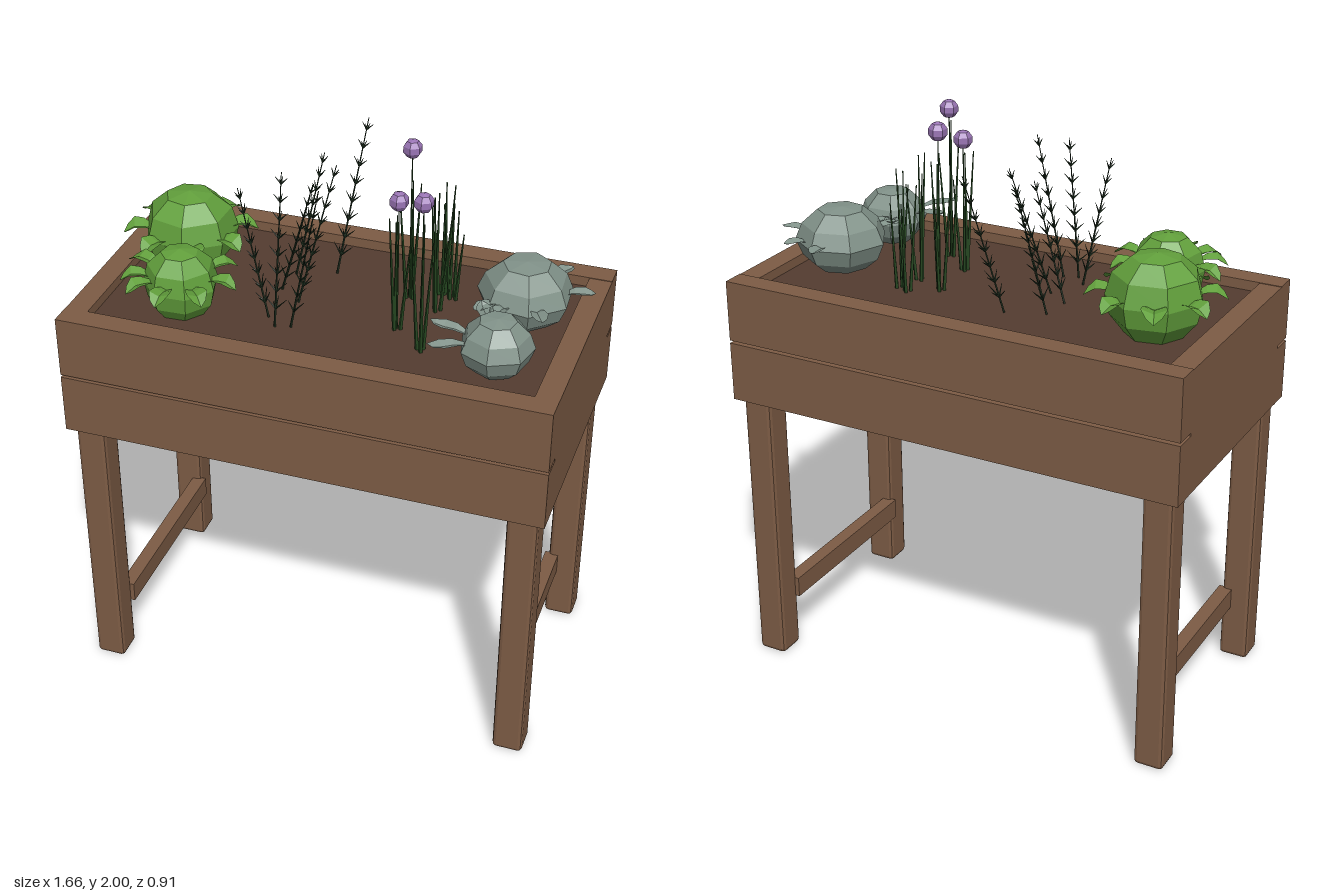
import * as THREE from 'three';
import { RoundedBoxGeometry } from 'three/addons/geometries/RoundedBoxGeometry.js';

const mat = (color) => new THREE.MeshStandardMaterial({ color, flatShading: true, side: THREE.DoubleSide });
const wood = mat(0x7d5c45), soilMat = mat(0x543d31), green = mat(0x62a03c), sage = mat(0x82938a);
const herb = mat(0x1f3020), grass = mat(0x24451f), purple = mat(0x9a75b5);
const V = (x, y, z) => new THREE.Vector3(x, y, z);
const SOIL = 1.42;

function add(parent, name, geo, material, x = 0, y = 0, z = 0) {
  const m = new THREE.Mesh(geo, material);
  m.name = name;
  m.position.set(x, y, z);
  parent.add(m);
  return m;
}

// Tapered rod between two points
function rod(parent, name, a, b, r0, r1, material, sides = 4) {
  const d = b.clone().sub(a);
  const m = add(parent, name, new THREE.CylinderGeometry(r1, r0, d.length(), sides), material);
  m.position.copy(a).addScaledVector(d, 0.5);
  m.quaternion.setFromUnitVectors(V(0, 1, 0), d.normalize());
  return m;
}

// Folded leaf running along +x, built from cross-sections [x, y, half width]
function leafGeometry(length, width, droop) {
  const rows = [[0, 0, 0.35], [0.35, 0.09, 0.85], [0.65, 0.1, 1], [0.88, 0.02 - droop / 2, 0.6], [1, -droop, 0.03]];
  const pos = [], idx = [];
  rows.forEach(([x, y, w], i) => {
    for (const s of [-1, 0, 1])
      pos.push(x * length, y * length + (s ? w * width * 0.2 : 0), s * w * width / 2);
    if (i) for (const k of [0, 1]) {
      const a = (i - 1) * 3 + k, b = a + 3;
      idx.push(a, a + 1, b, a + 1, b + 1, b);
    }
  });
  const g = new THREE.BufferGeometry();
  g.setAttribute('position', new THREE.Float32BufferAttribute(pos, 3));
  g.setIndex(idx);
  g.computeVertexNormals();
  return g;
}

// Faceted head with a ring of leaves; each leaf is [angle, reach from centre]
function headPlant(parent, name, p) {
  const g = new THREE.Group();
  g.name = name;
  g.position.set(p.x, p.y, p.z);
  const profile = p.profile.map(([r, y]) => new THREE.Vector2(r * p.r, y * p.h));
  const head = add(g, 'head', new THREE.LatheGeometry(profile, 7), p.material);
  head.rotation.y = p.turn;
  for (const [deg, reach] of p.leaves) {
    const start = p.r * 0.75;
    const leaf = new THREE.Group();
    leaf.name = 'leafMount';
    leaf.rotation.y = -THREE.MathUtils.degToRad(deg);
    add(leaf, 'leaf', leafGeometry(reach - start, p.leafWidth, p.droop), p.material, start, p.leafY);
    g.add(leaf);
  }
  parent.add(g);
}

// Leaning stem with opposite pairs of upswept needles
function sprig(parent, base, tip) {
  const g = new THREE.Group();
  g.name = 'herbSprig';
  rod(g, 'stem', base, tip, 0.004, 0.0015, herb);
  const dir = tip.clone().sub(base).normalize();
  const side = dir.clone().cross(V(0, 1, 0)).normalize();
  const out = side.clone().cross(dir).normalize();
  for (let i = 0; i < 8; i++) {
    const p = base.clone().lerp(tip, 0.12 + i * 0.115);
    const len = 0.05 - i * 0.003;
    for (const [sx, so] of [[1, 0], [-1, 0], [0, 0.7], [0, -0.7]]) {
      const end = p.clone().addScaledVector(dir, len * 0.75)
        .addScaledVector(side, sx * len * 0.75).addScaledVector(out, so * len * 0.75);
      rod(g, 'needle', p, end, 0.004, 0.0008, herb, 3);
    }
  }
  parent.add(g);
}

// Clump of upright blades, optionally with a round flower
function chive(parent, x, z, height, turn, flowerY) {
  const g = new THREE.Group();
  g.name = 'chiveClump';
  for (let i = 0; i < 4; i++) {
    const a = turn + i * Math.PI * 2 / 3, spread = i < 3 ? 0.04 : 0.006;
    const base = V(x + Math.cos(a) * 0.012, SOIL, z + Math.sin(a) * 0.012);
    const tip = V(x + Math.cos(a) * spread, height - (i % 3) * 0.05, z + Math.sin(a) * spread);
    rod(g, 'blade', base, tip, 0.007, 0.002, grass);
  }
  if (flowerY) {
    rod(g, 'flowerStem', V(x, SOIL, z), V(x, flowerY, z), 0.003, 0.002, grass);
    const f = add(g, 'flower', new THREE.SphereGeometry(0.033, 6, 5), purple, x, flowerY, z);
    f.rotation.y = Math.PI / 6;
  }
  parent.add(g);
}

export function createModel() {
  const root = new THREE.Group();
  root.name = 'raisedPlanter';

  // Long walls of two planks each with a narrow gap
  for (const s of [-1, 1]) {
    add(root, 'lowerPlank', new THREE.BoxGeometry(1.66, 0.21, 0.08), wood, 0, 1.125, s * 0.415);
    add(root, 'upperPlank', new THREE.BoxGeometry(1.66, 0.215, 0.08), wood, 0, 1.3475, s * 0.415);
    add(root, 'endBoard', new THREE.BoxGeometry(0.078, 0.432, 0.75), wood, s * 0.791, 1.237, 0);
    // Cross rail between the legs at each end
    add(root, 'crossRail', new THREE.BoxGeometry(0.05, 0.075, 0.68), wood, s * 0.71, 0.243, 0);
    for (const t of [-1, 1])
      add(root, 'leg', new RoundedBoxGeometry(0.105, 1.02, 0.104, 1, 0.014), wood, s * 0.753, 0.515, t * 0.38);
  }
  add(root, 'floor', new THREE.BoxGeometry(1.51, 0.03, 0.75), wood, 0, 1.05, 0);
  add(root, 'soil', new THREE.BoxGeometry(1.51, 0.12, 0.75), soilMat, 0, SOIL - 0.06, 0);

  // Leafy green heads
  const round = [[0, -0.9], [0.6, -0.8], [0.9, -0.4], [1, 0.05], [0.87, 0.55], [0.5, 0.9], [0, 1]];
  const flat = [[0, -0.9], [0.55, -0.85], [0.85, -0.5], [1, 0], [0.85, 0.5], [0.5, 0.93], [0, 1]];
  const ring = [22, 66, 112, 157, 203, 248, 293, 338];
  headPlant(root, 'largeGreenHead', {
    x: -0.58, y: 1.54, z: -0.1, r: 0.163, h: 0.152, turn: 0.2, profile: round, material: green,
    leaves: ring.map((a) => [a, 0.23]), leafWidth: 0.085, droop: 0.1, leafY: 0.01 });
  headPlant(root, 'smallGreenHead', {
    x: -0.49, y: 1.515, z: 0.2, r: 0.126, h: 0.13, turn: 0.5, profile: round, material: green,
    leaves: [4, 48, 92, 130, 157, 196, 240, 318].map((a, i) => [a, i === 5 ? 0.22 : 0.2]),
    leafWidth: 0.07, droop: 0.1, leafY: 0.03 });

  // Grey-green heads
  headPlant(root, 'largeGreyHead', {
    x: 0.6, y: 1.53, z: -0.09, r: 0.16, h: 0.115, turn: 0.3, profile: flat, material: sage,
    leaves: [[-95, 0.22], [-58, 0.215], [-8, 0.225], [62, 0.22], [105, 0.22], [122, 0.23]],
    leafWidth: 0.055, droop: -0.15, leafY: 0.005 });
  headPlant(root, 'smallGreyHead', {
    x: 0.59, y: 1.515, z: 0.23, r: 0.122, h: 0.1, turn: 0.9, profile: flat, material: sage,
    leaves: [[182, 0.22], [143, 0.235], [240, 0.2]],
    leafWidth: 0.055, droop: -0.25, leafY: 0.02 });

  // Herb sprigs: base x, z then tip x, y, z
  for (const [bx, bz, tx, ty, tz] of [
    [-0.08, -0.18, -0.03, 1.93, -0.36], [-0.21, -0.13, -0.13, 1.86, -0.2],
    [-0.22, -0.02, -0.11, 1.83, -0.03], [-0.14, 0.04, -0.05, 1.88, -0.09],
    [-0.2, 0.16, -0.295, 1.88, 0.16], [-0.16, 0.21, -0.16, 1.94, 0.12],
    [-0.11, 0.195, -0.02, 1.92, 0.165]]) sprig(root, V(bx, SOIL, bz), V(tx, ty, tz));

  // Chives, three in flower
  for (const c of [
    [0.2, -0.11, 1.86, 0.4, 1.972], [0.22, 0.09, 1.84, 2.1, 1.888], [0.33, 0.19, 1.9, 1.2, 1.953],
    [0.295, -0.17, 1.84, 0.3], [0.31, -0.06, 1.86, 1.7], [0.34, -0.15, 1.78, 2.6]]) chive(root, ...c);

  return root;
}
